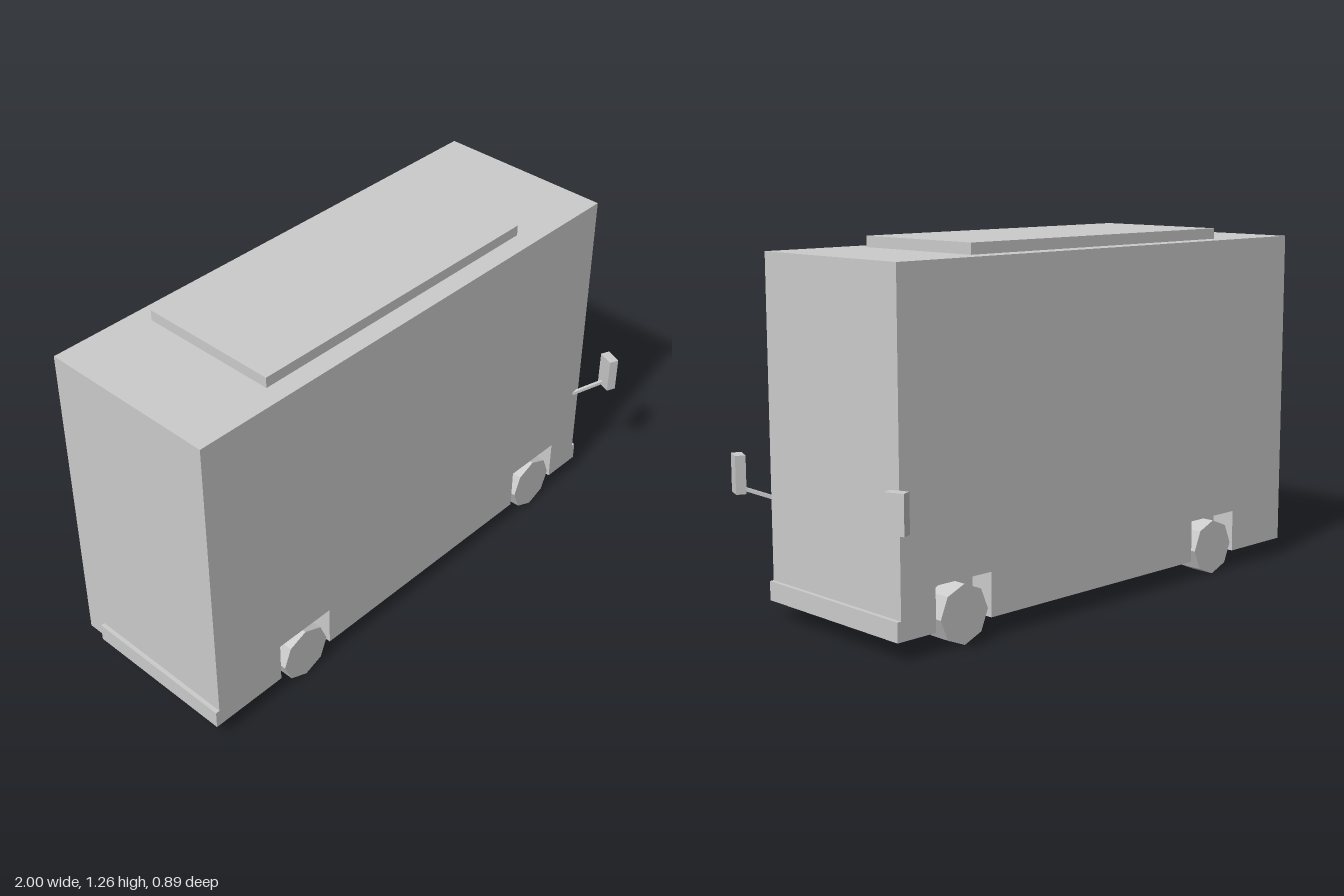
import * as THREE from 'three';

const grey = new THREE.MeshStandardMaterial({ color: 0xcccccc, flatShading: true });

function add(parent, name, geometry, x = 0, y = 0, z = 0) {
  const mesh = new THREE.Mesh(geometry, grey);
  mesh.name = name;
  mesh.position.set(x, y, z);
  parent.add(mesh);
  return mesh;
}

// Box given by its lower and upper corners
function boxBetween(parent, name, [x0, y0, z0], [x1, y1, z1]) {
  const geometry = new THREE.BoxGeometry(x1 - x0, y1 - y0, z1 - z0);
  return add(parent, name, geometry, (x0 + x1) / 2, (y0 + y1) / 2, (z0 + z1) / 2);
}

export function createModel() {
  const model = new THREE.Group();
  model.name = 'van';

  const back = -0.985, front = 0.895, floor = 0.068, roof = 1.226;
  const half = 0.33, inner = 0.24, archTop = 0.219;
  const arches = [[-0.705, -0.47], [0.52, 0.755]];
  const wheelX = [-0.588, 0.637];

  // Body core between the wheel wells
  boxBetween(model, 'bodyCore', [back, floor, -inner], [front, roof, inner]);

  // Side panels with wheel arches cut from the lower edge
  const side = new THREE.Shape();
  side.moveTo(back, floor);
  for (const [a, b] of arches) {
    side.lineTo(a, floor);
    side.lineTo(a, archTop);
    side.lineTo(b, archTop);
    side.lineTo(b, floor);
  }
  side.lineTo(front, floor);
  side.lineTo(front, roof);
  side.lineTo(back, roof);
  side.closePath();
  const panel = new THREE.ExtrudeGeometry(side, { depth: half - inner, bevelEnabled: false });
  add(model, 'leftToRightPanelNear', panel, 0, 0, inner).name = 'rightSidePanel';
  add(model, 'leftSidePanel', panel, 0, 0, -half);

  // Raised roof panel
  boxBetween(model, 'roofPanel', [-0.652, roof, -0.26], [0.535, 1.264, 0.258]);

  // Bumpers; the rear one stops short of one corner
  boxBetween(model, 'frontBumper', [front, floor, -half], [0.91, 0.134, half]);
  boxBetween(model, 'rearBumper', [-1, floor, -0.25], [back, 0.134, half]);

  // Eight-sided wheels
  const wheel = new THREE.CylinderGeometry(0.1, 0.1, 0.084, 8).rotateX(Math.PI / 2);
  for (const s of [1, -1]) {
    for (const x of wheelX) add(model, x > 0 ? 'frontWheel' : 'rearWheel', wheel, x, 0.103, s * 0.29);
  }

  // Angled wing mirrors on thin arms
  for (const s of [1, -1]) {
    const mirror = new THREE.Group();
    mirror.name = s > 0 ? 'rightMirror' : 'leftMirror';
    const start = new THREE.Vector3(0.865, 0.405, s * 0.325);
    const end = new THREE.Vector3(0.96, 0.446, s * 0.395);
    const arm = add(mirror, 'mirrorArm', new THREE.BoxGeometry(0.012, 0.012, start.distanceTo(end)));
    arm.position.lerpVectors(start, end, 0.5);
    arm.lookAt(end);
    const head = add(mirror, 'mirrorHead', new THREE.BoxGeometry(0.035, 0.13, 0.065), 0.968, 0.496, s * 0.407);
    head.rotation.y = -s * 0.39;
    model.add(mirror);
  }

  return model;
}
